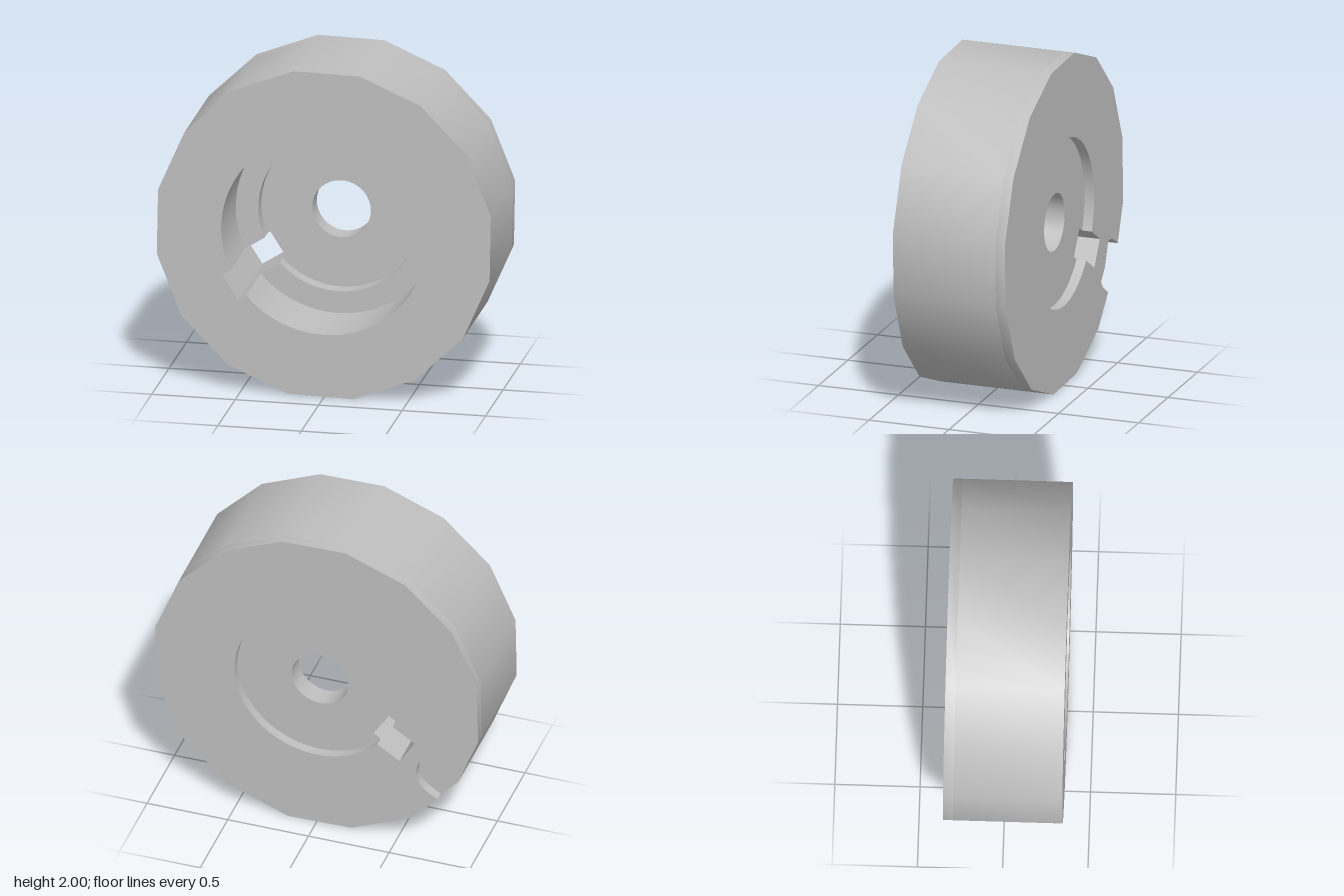
import * as THREE from 'three';
import { mergeGeometries, toCreasedNormals } from 'three/addons/utils/BufferGeometryUtils.js';

const V = (x, y) => new THREE.Vector2(x, y);

// Points of a circular arc, both ends included
function arc(r, a0, a1, n = 72, cx = 0) {
  return Array.from({ length: n + 1 }, (_, i) => {
    const a = a0 + ((a1 - a0) * i) / n;
    return V(cx + r * Math.cos(a), r * Math.sin(a));
  });
}
const circle = (r, n = 64) => arc(r, 0, Math.PI * 2, n).slice(0, n);

// Flat face at depth z, looking forward or backward
function face(outline, holes, z, back = false) {
  const shape = new THREE.Shape(outline);
  holes.forEach((h) => shape.holes.push(new THREE.Path(h)));
  const g = new THREE.ShapeGeometry(shape);
  g.translate(0, 0, z);
  if (back) {
    const idx = g.index.array;
    for (let i = 0; i < idx.length; i += 3) [idx[i], idx[i + 1]] = [idx[i + 1], idx[i]];
    g.computeVertexNormals();
  }
  g.deleteAttribute('uv');
  return g.toNonIndexed();
}

// Wall along a closed outline between two depths; bore walls look inward
function wall(points, z0, z1, bore = false) {
  const pts = bore ? [...points].reverse() : points;
  const pos = [];
  pts.forEach((p, i) => {
    const q = pts[(i + 1) % pts.length];
    pos.push(p.x, p.y, z0, q.x, q.y, z0, q.x, q.y, z1);
    pos.push(p.x, p.y, z0, q.x, q.y, z1, p.x, p.y, z1);
  });
  const g = new THREE.BufferGeometry();
  g.setAttribute('position', new THREE.Float32BufferAttribute(pos, 3));
  return toCreasedNormals(g, Math.PI / 6);
}

export function createModel() {
  const grey = new THREE.MeshStandardMaterial({ color: 0xbebebe });
  grey.name = 'grey';
  const model = new THREE.Group();
  model.name = 'wheelHub';

  // Everything is drawn with the key slot along +x, then turned into place
  const body = new THREE.Group();
  body.name = 'hubBody';
  body.position.y = 1;
  body.rotation.z = THREE.MathUtils.degToRad(212.7);
  model.add(body);
  const add = (name, ...parts) => {
    const mesh = new THREE.Mesh(mergeGeometries(parts), grey);
    mesh.name = name;
    body.add(mesh);
  };

  // Depths from front to back
  const front = 0.35, ledge = -0.07, webFront = -0.16, webBack = -0.29, back = -0.35;
  const R = 1.0165, boreR = 0.615, stepR = 0.48, recessR = 0.51, axleR = 0.175;

  // Key slot
  const h = 0.088, slotIn = 0.45, slotOut = 0.667;
  const slot = [V(slotIn, -h), V(slotOut, -h), V(slotOut, h), V(slotIn, h)];
  const openArc = (r) => {
    const a = Math.asin(h / r);
    return arc(r, a, Math.PI * 2 - a);
  };
  const slotted = (r) => [...openArc(r), V(slotOut, -h), V(slotOut, h)];
  const cutDisc = (r) => [...openArc(r), V(slotIn, -h), V(slotIn, h)];

  // Sixteen-sided rim, with a round-ended notch in its back edge
  const rim = circle(R, 16);
  const w = 0.15, notchX = 0.91, notchEnd = 0.987;
  const notch = [V(notchEnd, -w), ...arc(w, Math.PI * 1.5, Math.PI * 0.5, 20, notchX), V(notchEnd, w)];
  const notchedRim = [...rim.slice(1), ...notch];

  add('rim', wall(rim, webBack, front));
  add('frontFace', face(rim, [slotted(boreR)], front));
  add('frontBore', wall(slotted(boreR), ledge, front, true));
  add('boreLedge', face([...openArc(boreR), ...openArc(stepR).reverse()], [], ledge));
  add('boreStep', wall(slotted(stepR), webFront, ledge, true));

  // Central web with axle hole and slot
  add('web',
    face(cutDisc(stepR), [circle(axleR)], webFront),
    face(cutDisc(recessR), [circle(axleR)], webBack, true));
  add('axleHole', wall(circle(axleR), webBack, webFront, true));
  add('keySlot', wall(slot, webBack, webFront, true));

  // Back side
  add('backRecess', wall(slotted(recessR), back, webBack, true));
  add('backFace', face(notchedRim, [slotted(recessR)], back, true));
  add('backRimAndNotch', wall(notchedRim, back, webBack));
  add('notchFloor', face([...notch, V(R, 0)].reverse(), [], webBack, true));

  return model;
}
